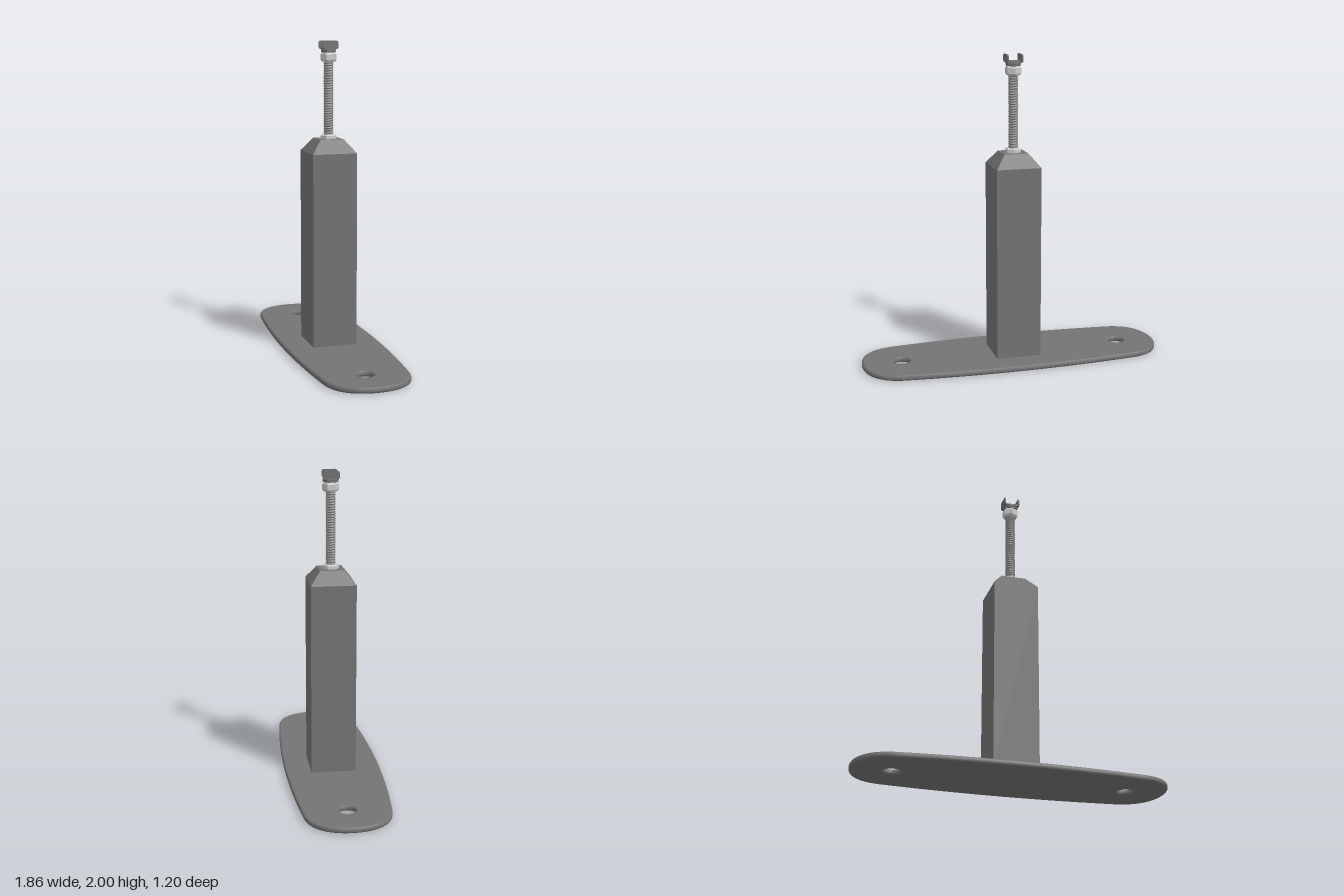
import * as THREE from 'three';
import { toCreasedNormals } from 'three/addons/utils/BufferGeometryUtils.js';

const TURN = -0.454; // the whole bracket sits turned about y

function add(parent, name, geometry, material, y = 0) {
  const mesh = new THREE.Mesh(geometry, material);
  mesh.name = name;
  mesh.position.y = y;
  parent.add(mesh);
  return mesh;
}

// Long base plate with bulging sides, soft corners and two bolt holes
function plateGeometry() {
  const s = new THREE.Shape();
  s.moveTo(-0.77, -0.273);
  s.quadraticCurveTo(0, -0.355, 0.77, -0.273);
  s.quadraticCurveTo(0.935, -0.253, 0.983, -0.1);
  s.quadraticCurveTo(1.01, 0, 0.983, 0.1);
  s.quadraticCurveTo(0.935, 0.253, 0.77, 0.273);
  s.quadraticCurveTo(0, 0.355, -0.77, 0.273);
  s.quadraticCurveTo(-0.935, 0.253, -0.983, 0.1);
  s.quadraticCurveTo(-1.01, 0, -0.983, -0.1);
  s.quadraticCurveTo(-0.935, -0.253, -0.77, -0.273);
  for (const x of [-0.74, 0.74]) {
    s.holes.push(new THREE.Path().absarc(x, 0, 0.053, 0, Math.PI * 2, true));
  }
  const b = 0.014, height = 0.037;
  const extruded = new THREE.ExtrudeGeometry(s, {
    depth: height - 2 * b, bevelSize: b, bevelThickness: b, bevelOffset: -b,
    bevelSegments: 4, curveSegments: 16,
  });
  extruded.rotateX(Math.PI / 2).translate(0, height - b, 0);
  const g = toCreasedNormals(extruded, 0.6);
  // Keep the broad top and bottom faces perfectly flat in shading
  const p = g.attributes.position, n = g.attributes.normal;
  for (let i = 0; i < p.count; i += 3) {
    const y = p.getY(i);
    const level = Math.abs(p.getY(i + 1) - y) + Math.abs(p.getY(i + 2) - y) < 1e-5;
    for (let k = 0; level && k < 3; k++) n.setXYZ(i + k, 0, y > height / 2 ? 1 : -1, 0);
  }
  return g;
}

// Square tube section: four flat sides between two half widths
function squareGeometry(top, bottom, height) {
  return new THREE.CylinderGeometry(top * Math.SQRT2, bottom * Math.SQRT2, height, 4)
    .rotateY(Math.PI / 4).translate(0, height / 2, 0);
}

// Six-sided nut with chamfered rims
function nutGeometry(r, h) {
  const c = 0.2 * h;
  const profile = [[0, 0], [r * 0.85, 0], [r, c], [r, h - c], [r * 0.85, h], [0, h]];
  return new THREE.LatheGeometry(profile.map(([x, y]) => new THREE.Vector2(x, y)), 6);
}

// Threaded rod: a cylinder whose radius follows a helical zigzag
function threadGeometry(r, depth, pitch, height) {
  const sides = 24;
  const g = new THREE.CylinderGeometry(r, r, height, sides, Math.round(height / pitch) * 4, true);
  const p = g.attributes.position;
  for (let i = 0; i < p.count; i++) {
    const x = p.getX(i), y = p.getY(i), z = p.getZ(i);
    const turns = y / pitch + Math.atan2(z, x) / (Math.PI * 2);
    const wave = Math.abs((turns - Math.floor(turns)) * 2 - 1);
    const k = (r - depth * wave) / r;
    p.setXYZ(i, x * k, y, z * k);
  }
  return g.translate(0, height / 2, 0);
}

// Upright ear of the top clip, with rounded ends, standing across z
function earGeometry(width, height, thick) {
  const w = width / 2, c = 0.018;
  const s = new THREE.Shape();
  s.moveTo(-w + c, 0);
  s.lineTo(w - c, 0);
  s.quadraticCurveTo(w, 0, w, c);
  s.lineTo(w, height - c);
  s.quadraticCurveTo(w, height, w - c, height);
  s.lineTo(-w + c, height);
  s.quadraticCurveTo(-w, height, -w, height - c);
  s.lineTo(-w, c);
  s.quadraticCurveTo(-w, 0, -w + c, 0);
  const g = new THREE.ExtrudeGeometry(s, { depth: thick, bevelEnabled: false, curveSegments: 5 });
  return g.translate(0, 0, -thick / 2).rotateY(Math.PI / 2);
}

export function createModel() {
  const model = new THREE.Group();
  model.name = 'postAnchor';
  const smoothSteel = new THREE.MeshStandardMaterial({ color: 0x737373 });
  const flatSteel = new THREE.MeshStandardMaterial({ color: 0x737373, flatShading: true });
  const rodSteel = new THREE.MeshStandardMaterial({ color: 0x909090, flatShading: true });
  const nutSteel = new THREE.MeshStandardMaterial({ color: 0xcccccc, flatShading: true });

  const plate = add(model, 'basePlate', plateGeometry(), smoothSteel);
  plate.rotation.y = TURN;

  const post = new THREE.Group();
  post.name = 'post';
  post.position.set(-0.01, 0, -0.007);
  post.rotation.y = TURN;
  model.add(post);

  // Square column and its tapered cap
  add(post, 'column', squareGeometry(0.146, 0.146, 1.26), flatSteel, 0.03);
  add(post, 'taperedCap', squareGeometry(0.079, 0.146, 0.085), flatSteel, 1.29);

  // Rod with its lock nuts
  add(post, 'lowerNut', nutGeometry(0.053, 0.04), nutSteel, 1.363);
  add(post, 'threadedRod', threadGeometry(0.033, 0.006, 0.016, 0.52), rodSteel, 1.37);
  add(post, 'upperNut', nutGeometry(0.053, 0.058), nutSteel, 1.868);
  add(post, 'boltHead', nutGeometry(0.05, 0.024), flatSteel, 1.925);

  // U-shaped clip on top
  const clip = new THREE.Group();
  clip.name = 'topClip';
  post.add(clip);
  add(clip, 'clipFloor', new THREE.BoxGeometry(0.094, 0.01, 0.09), flatSteel, 1.951);
  for (const side of [-1, 1]) {
    const ear = add(clip, side > 0 ? 'leftEar' : 'rightEar', earGeometry(0.103, 0.052, 0.009), flatSteel, 1.948);
    ear.position.x = side * 0.047;
  }
  return model;
}
